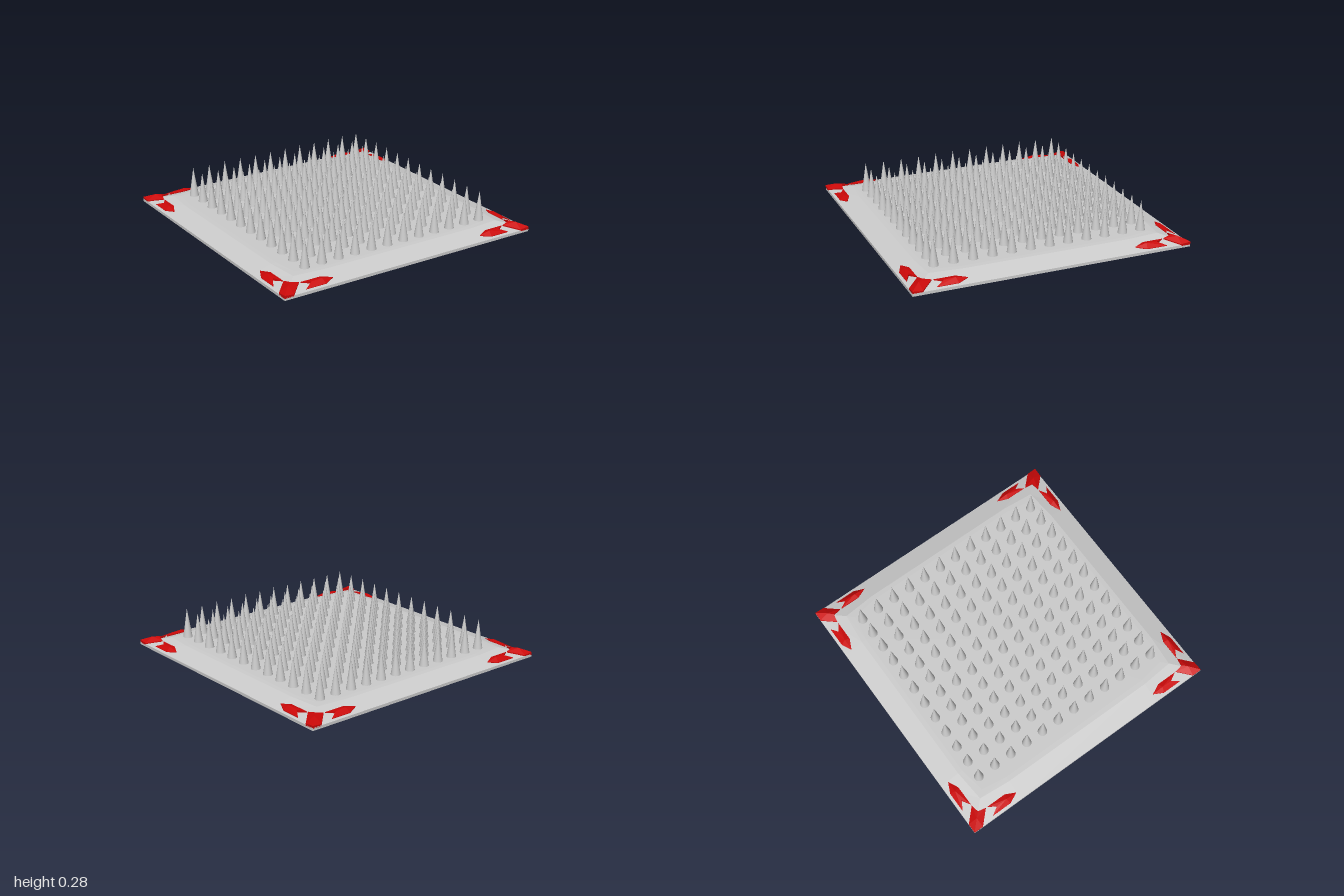
import * as THREE from 'three';

const EDGE = 0.02, TOP = 0.065;

// Height of the sloped border at a point
const slopeY = (x, z) =>
  EDGE + (TOP - EDGE) * Math.min(1, (1 - Math.max(Math.abs(x), Math.abs(z))) / 0.15);

function fromTriangles(triangles) {
  const geometry = new THREE.BufferGeometry();
  geometry.setAttribute('position', new THREE.Float32BufferAttribute(triangles.flat(2), 3));
  geometry.computeVertexNormals();
  return geometry;
}

// Walls between two matching closed loops, lower one first
function walls(low, high) {
  return low.flatMap((a, i) => {
    const j = (i + 1) % low.length;
    return [[a, low[j], high[j]], [a, high[j], high[i]]];
  });
}

const fan = (loop, centre) => loop.map((p, i) => [centre, p, loop[(i + 1) % loop.length]]);

// Square ring with a flat stretch on each side and its own corner inset
function ring(side, corner, y) {
  const loop = [];
  for (let k = 0; k < 4; k++) {
    for (const [px, pz] of [[-0.6, side], [0.6, side], [corner, corner]]) {
      let x = px, z = pz;
      for (let n = 0; n < k; n++) [x, z] = [z, -x];
      loop.push([x, y, z]);
    }
  }
  return loop;
}

function baseGeometry() {
  const rings = [ring(1, 1, 0), ring(1, 1, EDGE), ring(0.855, 0.835, 0.063), ring(0.82, 0.79, TOP)];
  const triangles = fan([...rings[0]].reverse(), [0, 0, 0]);
  for (let i = 0; i < 3; i++) triangles.push(...walls(rings[i], rings[i + 1]));
  triangles.push(...fan(rings[3], [0, TOP, 0]));
  return fromTriangles(triangles);
}

// Ridged arrow lying on the slope; points are [x, z, lift above the slope]
function arrowGeometry(outline, peak, swap = false) {
  const points = swap ? outline.map(([x, z, h]) => [z, x, h]).reverse() : outline;
  const [cx, cz, ch] = swap ? [peak[1], peak[0], peak[2]] : peak;
  const high = points.map(([x, z, h]) => [x, slopeY(x, z) + h, z]);
  const low = points.map(([x, z]) => [x, slopeY(x, z) - 0.006, z]);
  return fromTriangles([...walls(low, high), ...fan(high, [cx, slopeY(cx, cz) + ch, cz])]);
}

export function createModel() {
  const model = new THREE.Group();
  model.name = 'spikePlate';
  const grey = new THREE.MeshStandardMaterial({ color: 0xcccccc });
  const greyFlat = new THREE.MeshStandardMaterial({ color: 0xcccccc, flatShading: true });
  const red = new THREE.MeshStandardMaterial({ color: 0xcc0808, flatShading: true });

  const add = (parent, name, geometry, material) => {
    const mesh = new THREE.Mesh(geometry, material);
    mesh.name = name;
    parent.add(mesh);
    return mesh;
  };

  add(model, 'basePlate', baseGeometry(), greyFlat);

  // Grid of spikes
  const spikes = new THREE.Group();
  spikes.name = 'spikes';
  model.add(spikes);
  const height = 0.215;
  const cone = new THREE.ConeGeometry(0.034, height, 16, 1, true);
  for (let row = 0; row < 12; row++) {
    for (let col = 0; col < 12; col++) {
      add(spikes, 'spike', cone, grey)
        .position.set(-0.705 + col * 0.1314, TOP + height / 2, -0.752 + row * 0.1379);
    }
  }

  // Red arrows: one over each corner and one along each adjoining edge
  const sideOutline = [
    [0.605, 0.945, 0.004], [0.68, 0.98, 0.003], [0.83, 0.98, 0.003],
    [0.77, 0.945, 0.015], [0.83, 0.91, 0.003], [0.68, 0.91, 0.003],
  ];
  const sidePeak = [0.69, 0.945, 0.02];
  const cornerOutline = [
    [0.93, 1, 0.008], [1, 1, 0.015], [1, 0.93, 0.008],
    [0.91, 0.84, 0.005], [0.9, 0.9, 0.015], [0.84, 0.91, 0.005],
  ];
  const cornerArrow = arrowGeometry(cornerOutline, [0.935, 0.935, 0.024]);
  const frontArrow = arrowGeometry(sideOutline, sidePeak);
  const sideArrow = arrowGeometry(sideOutline, sidePeak, true);
  for (let k = 0; k < 4; k++) {
    const corner = new THREE.Group();
    corner.name = 'cornerArrows';
    corner.rotation.y = k * Math.PI / 2;
    add(corner, 'cornerArrow', cornerArrow, red);
    add(corner, 'edgeArrow', frontArrow, red);
    add(corner, 'edgeArrow', sideArrow, red);
    model.add(corner);
  }
  return model;
}
